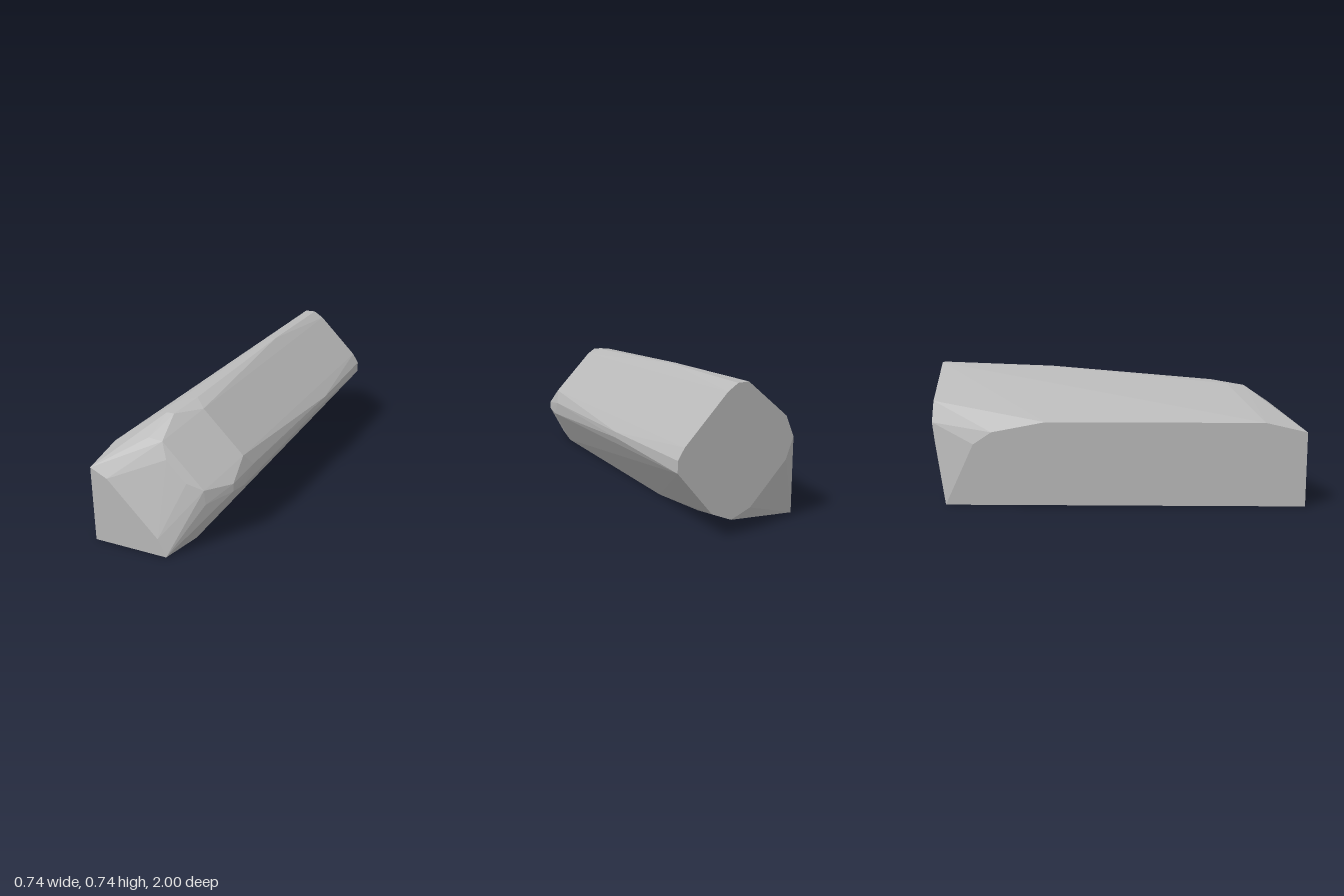
import * as THREE from 'three';
import { ConvexGeometry } from 'three/addons/geometries/ConvexGeometry.js';

export function createModel() {
  const group = new THREE.Group();
  const stone = new THREE.MeshStandardMaterial({ color: 0xb8b8b8 });
  stone.name = 'stone grey';

  // Half of the corners as [across, up, z], measured from the square lower edge.
  // The block is symmetric when across and up are swapped.
  const half = [
    // front end
    [0, 0.4, 1], [0.09, 0.357, 1],
    // rounded nose
    [0.34, 0.445, 0.86], [0.23, 0.53, 0.83], [0.305, 0.523, 0.83],
    [0.26, 0.617, 0.7], [0.3, 0.617, 0.7], [0.25, 0.63, 0.6],
    [0.4, 0.615, 0.58], [0.335, 0.645, 0.52],
    // long ridges
    [0.39, 0.715, -0.38], [0.36, 0.715, -0.38],
    // edge of the flat sides
    [0, 0.45, 0.78], [0, 0.45, -0.38], [0, 0.42, -0.53],
    [0, 0.395, -0.667], [0, 0.33, -0.765],
    // back end
    [0.36, 0.735, -1], [0.42, 0.735, -1], [0.475, 0.7, -1],
    [0.13, 0.545, -1], [0.08, 0.435, -1], [0.12, 0.326, -1],
  ];

  const points = [new THREE.Vector3(-0.367, 0, 1), new THREE.Vector3(-0.367, 0, -0.92)];
  for (const [a, b, z] of half) {
    points.push(new THREE.Vector3(a - 0.367, b, z), new THREE.Vector3(b - 0.367, a, z));
  }

  // faceted beam-shaped block
  const block = new THREE.Mesh(new ConvexGeometry(points), stone);
  block.name = 'block';
  group.add(block);
  return group;
}
